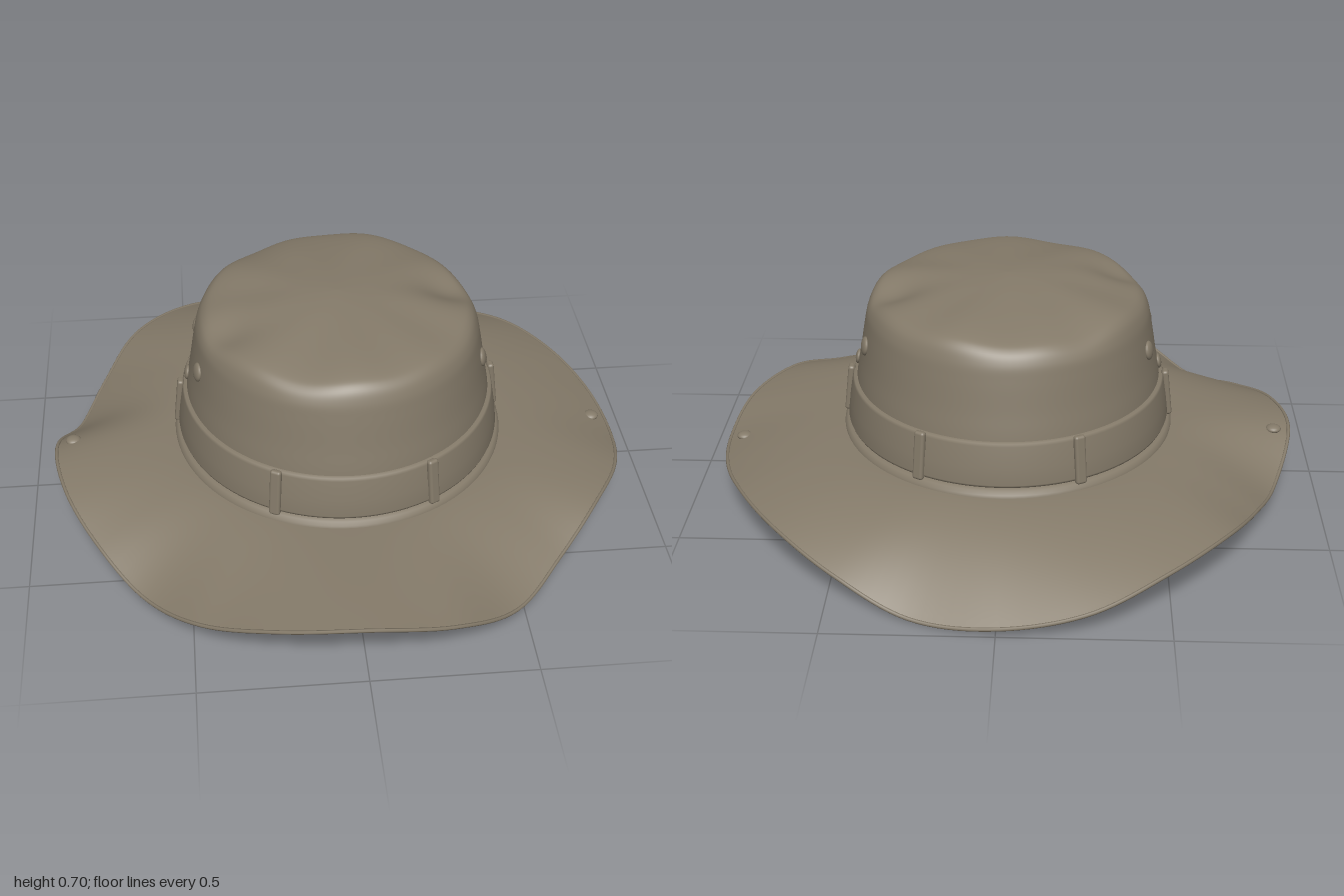
import * as THREE from 'three';
import { RoundedBoxGeometry } from 'three/addons/geometries/RoundedBoxGeometry.js';

const STRETCH = 1.08; // the head opening is longer front to back
const CENTRE_Z = -0.01;
const TAU = Math.PI * 2;

// Brim edge every 15 degrees, from +x towards +z: [radius, height]
const EDGE = [
  [0.92, 0.11], [0.915, 0.145], [0.89, 0.155], [0.885, 0.1], [0.93, 0.065], [0.98, 0.145],
  [0.995, 0.2], [0.985, 0.175], [0.95, 0.1], [0.905, 0.05], [0.9, 0.105], [0.915, 0.16],
  [0.92, 0.165], [0.885, 0.075], [0.895, 0.105], [0.945, 0.15], [0.985, 0.135], [1.015, 0.075],
  [0.99, 0.025], [0.965, 0.015], [0.95, 0.085], [0.935, 0.135], [0.92, 0.14], [0.92, 0.12],
];
const edgeCurve = new THREE.CatmullRomCurve3(EDGE.map(([r, y], i) => {
  const a = i / EDGE.length * TAU;
  return new THREE.Vector3(r * Math.cos(a), y, r * Math.sin(a));
}), true, 'catmullrom', 0.5);

// Crown profile from the opening up to the middle of the top: [radius, height]
const crownCurve = new THREE.SplineCurve([
  [0.51, 0.215], [0.502, 0.26], [0.486, 0.38], [0.472, 0.46], [0.457, 0.55], [0.445, 0.605],
  [0.424, 0.643], [0.385, 0.663], [0.29, 0.681], [0.15, 0.695], [0, 0.701],
].map(([x, y]) => new THREE.Vector2(x, y)));

// Closed smooth surface of rings; fn(u, v) gives a point, u runs round
function surface(nu, nv, fn) {
  const pos = [], index = [];
  for (let j = 0; j <= nv; j++) {
    for (let i = 0; i < nu; i++) pos.push(...fn(i / nu, j / nv));
  }
  for (let j = 0; j < nv; j++) {
    for (let i = 0; i < nu; i++) {
      const k = (i + 1) % nu;
      const a = j * nu + i, b = j * nu + k, c = a + nu, d = b + nu;
      index.push(a, c, b, b, c, d);
    }
  }
  const g = new THREE.BufferGeometry();
  g.setAttribute('position', new THREE.Float32BufferAttribute(pos, 3));
  g.setIndex(index);
  g.computeVertexNormals();
  return g;
}

const oval = (a, r, y) => [r * Math.cos(a), y, CENTRE_Z + r * STRETCH * Math.sin(a)];
const bump = (x, z, cx, cz, w) => Math.exp(-((x - cx) ** 2 + (z - cz) ** 2) / (w * w));

// Turns local +z outwards from the oval wall, leaning back with its slope
function placeOnWall(mesh, a, r, y, lean) {
  mesh.position.set(...oval(a, r, y));
  mesh.rotation.order = 'YXZ';
  mesh.rotation.y = Math.atan2(Math.cos(a), Math.sin(a) / STRETCH);
  mesh.rotation.x = -lean;
}

export function createModel() {
  const hat = new THREE.Group();
  hat.name = 'hat';
  const cloth = new THREE.MeshStandardMaterial({ color: 0x847a69, side: THREE.DoubleSide });
  cloth.name = 'olive drab cloth';

  const add = (name, geometry) => {
    const mesh = new THREE.Mesh(geometry, cloth);
    mesh.name = name;
    hat.add(mesh);
    return mesh;
  };

  // Wavy brim, drooping more and more towards its edge
  const brimPoint = (u, t) => {
    const e = edgeCurve.getPoint(u);
    const [ix, iy, iz] = oval(u * TAU, 0.5, 0.215);
    return [
      THREE.MathUtils.lerp(ix, e.x, t),
      THREE.MathUtils.lerp(iy, e.y, t ** 1.8),
      THREE.MathUtils.lerp(iz, e.z, t),
    ];
  };
  add('brim', surface(144, 24, (u, v) => brimPoint(u, 1 - v)));
  add('brimHem', new THREE.TubeGeometry(edgeCurve, 200, 0.006, 6, true));

  // Soft crown with a few dents and a gently creased shoulder
  add('crown', surface(120, 64, (u, v) => {
    const a = u * TAU;
    const p = crownCurve.getPoint(v);
    const [x, y, z] = oval(a, Math.max(p.x, 0.0005), p.y);
    const top = THREE.MathUtils.smoothstep(p.y, 0.58, 0.66);
    const shoulder = top * THREE.MathUtils.smoothstep(p.x, 0.1, 0.4);
    const dents = 0.03 * bump(x, z, 0.36, -0.06, 0.09) + 0.028 * bump(x, z, -0.36, 0.12, 0.09)
      + 0.015 * bump(x, z, -0.25, -0.42, 0.12) - 0.008 * bump(x, z, -0.06, 0, 0.16);
    const creases = 0.004 * Math.sin(5 * a + 1) + 0.003 * Math.sin(9 * a);
    return [x, y - top * dents + shoulder * creases, z];
  }));

  // Ring swept from a small [radius, height] profile
  const ring = (name, profile) => add(name, surface(96, profile.length - 1,
    (u, v) => oval(u * TAU, ...profile[Math.round(v * (profile.length - 1))])));
  ring('band', [[0.5, 0.238], [0.515, 0.24], [0.518, 0.248], [0.512, 0.3],
    [0.501, 0.368], [0.497, 0.376], [0.484, 0.378]]);
  ring('bandSeam', [[0.532, 0.212], [0.53, 0.222], [0.522, 0.232], [0.508, 0.236]]);

  // Loops around the band
  for (const deg of [-2, 61, 117, 182, 243, 299]) {
    const loop = add('bandLoop', new RoundedBoxGeometry(0.036, 0.155, 0.022, 3, 0.009));
    placeOnWall(loop, THREE.MathUtils.degToRad(deg), 0.514, 0.308, 0.11);
  }

  // Vent eyelets and a small stud on both sides of the crown
  const stud = (name, r, depth) => add(name, new THREE.SphereGeometry(r, 20, 12).scale(1, 1, depth));
  for (const side of [1, -1]) {
    for (const [name, z, y, r, wall] of [
      ['ventEyelet', 0.12, 0.512, 0.03, 0.465],
      ['ventEyelet', -0.16, 0.512, 0.03, 0.465],
      ['crownStud', -0.025, 0.415, 0.024, 0.483],
    ]) {
      const s = Math.asin((z - CENTRE_Z) / (wall * STRETCH));
      placeOnWall(stud(name, r, 0.4), side > 0 ? s : Math.PI - s, wall, y, 0.17);
    }
  }

  // Snap studs near the brim edge
  for (const [u, t] of [[0.991, 0.88], [0.503, 0.88]]) {
    const snap = stud('brimSnap', 0.025, 0.5);
    snap.position.set(...brimPoint(u, t));
    snap.rotation.x = -Math.PI / 2;
  }

  return hat;
}
